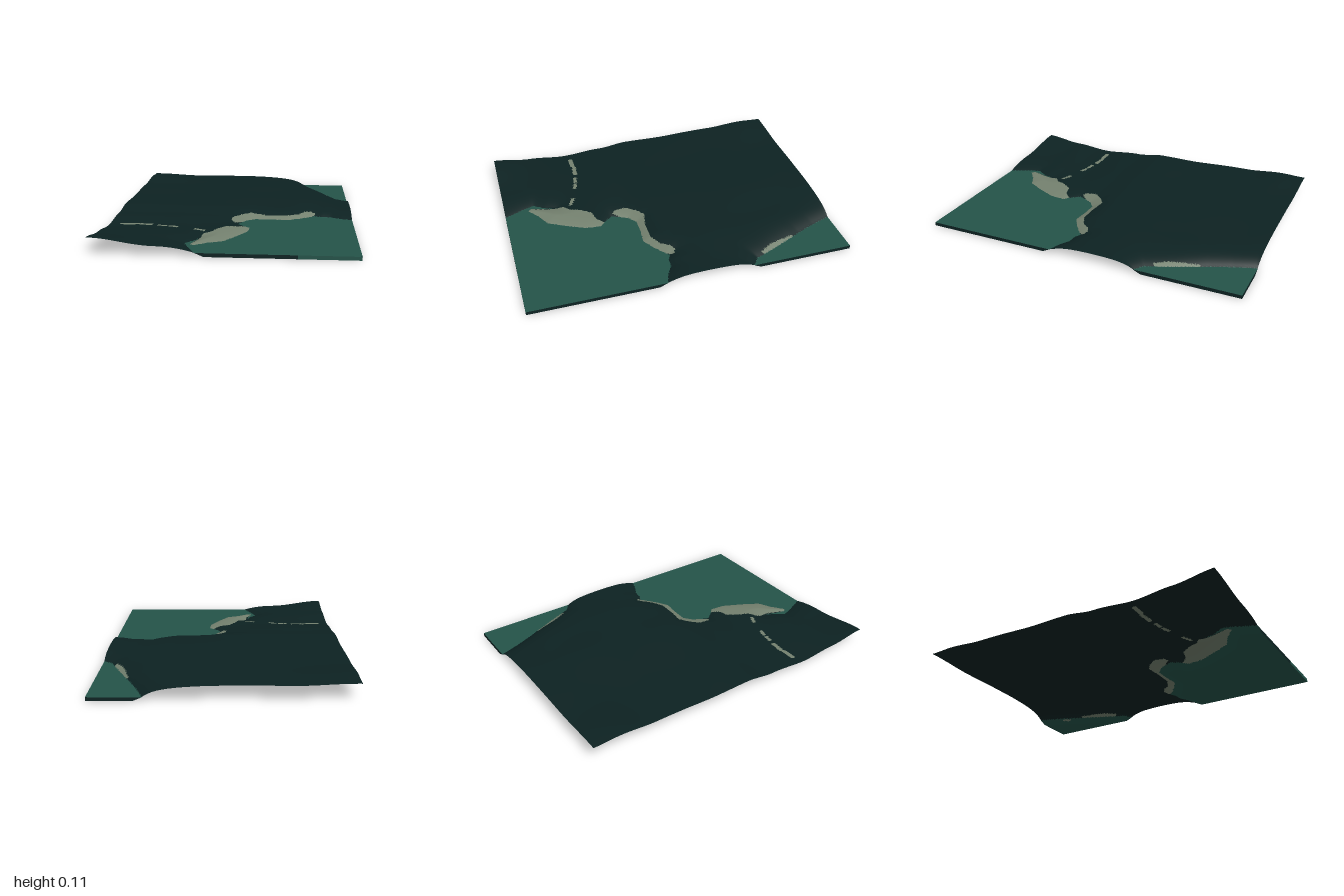
import * as THREE from 'three';

const W = 0.735, D = 1, SEA = 0.022;
const mat = (name, color) => new THREE.MeshStandardMaterial({ name, color, side: THREE.DoubleSide });

// Shorelines as [x, z], closed off along the border by their corner points
const bayShore = [
  [0.735, 0.175], [0.66, 0.15], [0.6, 0.115], [0.54, 0.11], [0.5, 0.09], [0.48, 0.11], [0.4, 0.17],
  [0.33, 0.21], [0.2, 0.2], [0.13, 0.2], [0.08, 0.24], [0.05, 0.29], [0.03, 0.34], [0.07, 0.39],
  [0.11, 0.43], [0.1, 0.52], [0.05, 0.63], [-0.02, 0.75], [-0.1, 0.79], [-0.18, 0.85], [-0.2, 0.83],
  [-0.17, 0.72], [-0.16, 0.66], [-0.18, 0.74], [-0.23, 0.81], [-0.2, 0.89], [-0.15, 1],
];
const cornerShore = [
  [0.435, -1], [0.48, -0.87], [0.53, -0.75], [0.555, -0.7], [0.6, -0.6], [0.66, -0.46], [0.68, -0.41], [0.735, -0.365],
];
const shores = [bayShore, cornerShore];
const waters = [[...bayShore, [W, D]], [...cornerShore, [W, -D]]];

// Beaches and the dashed dry stream bed
const dash = (x0, z0, x1, z1, h = 0.014) => [
  [x0, z0 - h], [x1, z1 - h], [x1 + 0.008, z1], [x1, z1 + h], [x0, z0 + h], [x0 - 0.008, z0]];
const beaches = [
  [[-0.01, 0.31], [-0.01, 0.24], [0.04, 0.18], [0.1, 0.14], [0.2, 0.16], [0.32, 0.16], [0.4, 0.12],
    [0.44, 0.07], [0.48, 0.05], [0.51, 0.07], [0.48, 0.11], [0.4, 0.17], [0.33, 0.21], [0.2, 0.2],
    [0.13, 0.2], [0.08, 0.24], [0.05, 0.29], [0.01, 0.33]],
  [[0.08, 0.4], [0.11, 0.43], [0.1, 0.52], [0.05, 0.63], [-0.02, 0.75], [-0.1, 0.79], [-0.18, 0.85],
    [-0.2, 0.83], [-0.16, 0.72], [-0.15, 0.62], [-0.1, 0.59], [-0.08, 0.53], [-0.03, 0.46], [0.04, 0.44]],
  [[0.545, -0.7], [0.555, -0.7], [0.6, -0.6], [0.66, -0.46], [0.64, -0.45], [0.6, -0.52], [0.57, -0.6]],
  dash(0.512, -0.83, 0.53, -0.8, 0.018),
  dash(-0.67, 0.475, -0.58, 0.475), dash(-0.57, 0.468, -0.48, 0.475), dash(-0.44, 0.487, -0.39, 0.494, 0.012),
  dash(-0.37, 0.495, -0.32, 0.513, 0.012), dash(-0.21, 0.545, -0.15, 0.575, 0.013),
];

function inside(poly, x, z) {
  let hit = false;
  for (let i = 0, j = poly.length - 1; i < poly.length; j = i++) {
    const [ax, az] = poly[i], [bx, bz] = poly[j];
    if ((az > z) !== (bz > z) && x < (bx - ax) * (z - az) / (bz - az) + ax) hit = !hit;
  }
  return hit;
}

function shoreDistance(x, z) {
  let best = Infinity;
  for (const line of shores) for (let i = 1; i < line.length; i++) {
    const [ax, az] = line[i - 1], dx = line[i][0] - ax, dz = line[i][1] - az;
    const t = THREE.MathUtils.clamp(((x - ax) * dx + (z - az) * dz) / (dx * dx + dz * dz), 0, 1);
    best = Math.min(best, Math.hypot(x - ax - t * dx, z - az - t * dz));
  }
  return best;
}

// Coarse land heights: rows run back to front, columns run along x
const rowsZ = [-1, -0.85, -0.6, -0.2, 0.05, 0.25, 0.5, 0.75, 1];
const heights = [
  [0.1, 0.088, 0.088, 0.075, 0.06],
  [0.106, 0.086, 0.086, 0.075, 0.06],
  [0.09, 0.08, 0.088, 0.075, 0.06],
  [0.08, 0.075, 0.083, 0.073, 0.06],
  [0.082, 0.078, 0.078, 0.068, 0.06],
  [0.06, 0.058, 0.055, 0.05, 0.05],
  [0.044, 0.043, 0.04, 0.04, 0.04],
  [0.063, 0.052, 0.042, 0.04, 0.04],
  [0.093, 0.055, 0.04, 0.04, 0.04],
];
const ease = t => t * t * (3 - 2 * t);

function landHeight(x, z) {
  let r = 0;
  while (r < rowsZ.length - 2 && z > rowsZ[r + 1]) r++;
  const v = ease((z - rowsZ[r]) / (rowsZ[r + 1] - rowsZ[r]));
  const c = (x + W) / (2 * W) * 4, k = Math.min(3, Math.floor(c)), u = ease(c - k);
  const row = i => THREE.MathUtils.lerp(heights[i][k], heights[i][k + 1], u);
  const ripple = 0.0015 * Math.sin(9 * x + 4 * z) * Math.sin(13 * z - 5 * x);
  return THREE.MathUtils.lerp(row(r), row(r + 1), v) + ripple;
}

function surfaceHeight(x, z) {
  const d = shoreDistance(x, z);
  if (waters.some(p => inside(p, x, z))) return SEA * Math.max(0, 1 - d / 0.05);
  return SEA + (landHeight(x, z) - SEA) * (1 - Math.exp(-d / 0.07));
}

export function createModel() {
  const group = new THREE.Group();
  const land = mat('dark land', 0x0d2222);
  const water = mat('teal water', 0x245349);
  const sand = mat('pale sand', 0x74816f);
  const add = (name, geometry, material) => {
    const mesh = new THREE.Mesh(geometry, material);
    mesh.name = name;
    group.add(mesh);
  };

  // Terrain sheet: one height grid whose cells are sorted into land, beach and sea bed
  const nx = 147, nz = 200, e = 1e-5;
  const sheet = new THREE.PlaneGeometry(2 * W, 2 * D, nx, nz).rotateX(-Math.PI / 2);
  const p = sheet.attributes.position;
  for (let i = 0; i < p.count; i++) {
    p.setY(i, surfaceHeight(p.getX(i) * (1 - e), p.getZ(i) * (1 - e)));
  }
  sheet.computeVertexNormals();
  const faces = { land: [], beach: [], seaBed: [] };
  const idx = sheet.index.array;
  for (let i = 0; i < idx.length; i += 3) {
    const tri = [idx[i], idx[i + 1], idx[i + 2]];
    const x = tri.reduce((s, k) => s + p.getX(k), 0) / 3;
    const z = tri.reduce((s, k) => s + p.getZ(k), 0) / 3;
    const kind = beaches.some(b => inside(b, x, z)) ? 'beach'
      : waters.some(w => inside(w, x, z)) ? 'seaBed' : 'land';
    faces[kind].push(...tri);
  }
  const materials = { land, beach: sand, seaBed: water };
  for (const kind in faces) {
    const g = new THREE.BufferGeometry();
    g.setAttribute('position', p);
    g.setAttribute('normal', sheet.attributes.normal);
    g.setIndex(faces[kind]);
    add(kind, g, materials[kind]);
  }

  // Flat water surfaces
  const flat = pts => new THREE.ShapeGeometry(new THREE.Shape(pts.map(([a, b]) => new THREE.Vector2(a, b))));
  waters.forEach((w, i) => add(i ? 'cornerWater' : 'bayWater',
    flat(w.map(([x, z]) => [x, -z])).rotateX(-Math.PI / 2).translate(0, SEA, 0), water));

  // Upright banks closing the water at the border, sloped at the shore end
  const bank = (a, b, slope) => flat([[a, SEA - 0.001], [a + slope, 0], [b, 0], [b, SEA - 0.001]]);
  add('frontBank', bank(-0.15, 0.4, 0.05).translate(0, 0, D), land);
  add('frontWaterSide', bank(0.4, W, 0).translate(0, 0, D), water);
  add('backBank', bank(0.435, W, 0.05).translate(0, 0, -D), land);
  add('baySideBank', bank(0.175, D, 0.045).rotateY(-Math.PI / 2).translate(W, 0, 0), land);
  add('cornerSideBank', bank(-0.365, -D, -0.045).rotateY(-Math.PI / 2).translate(W, 0, 0), land);
  return group;
}
